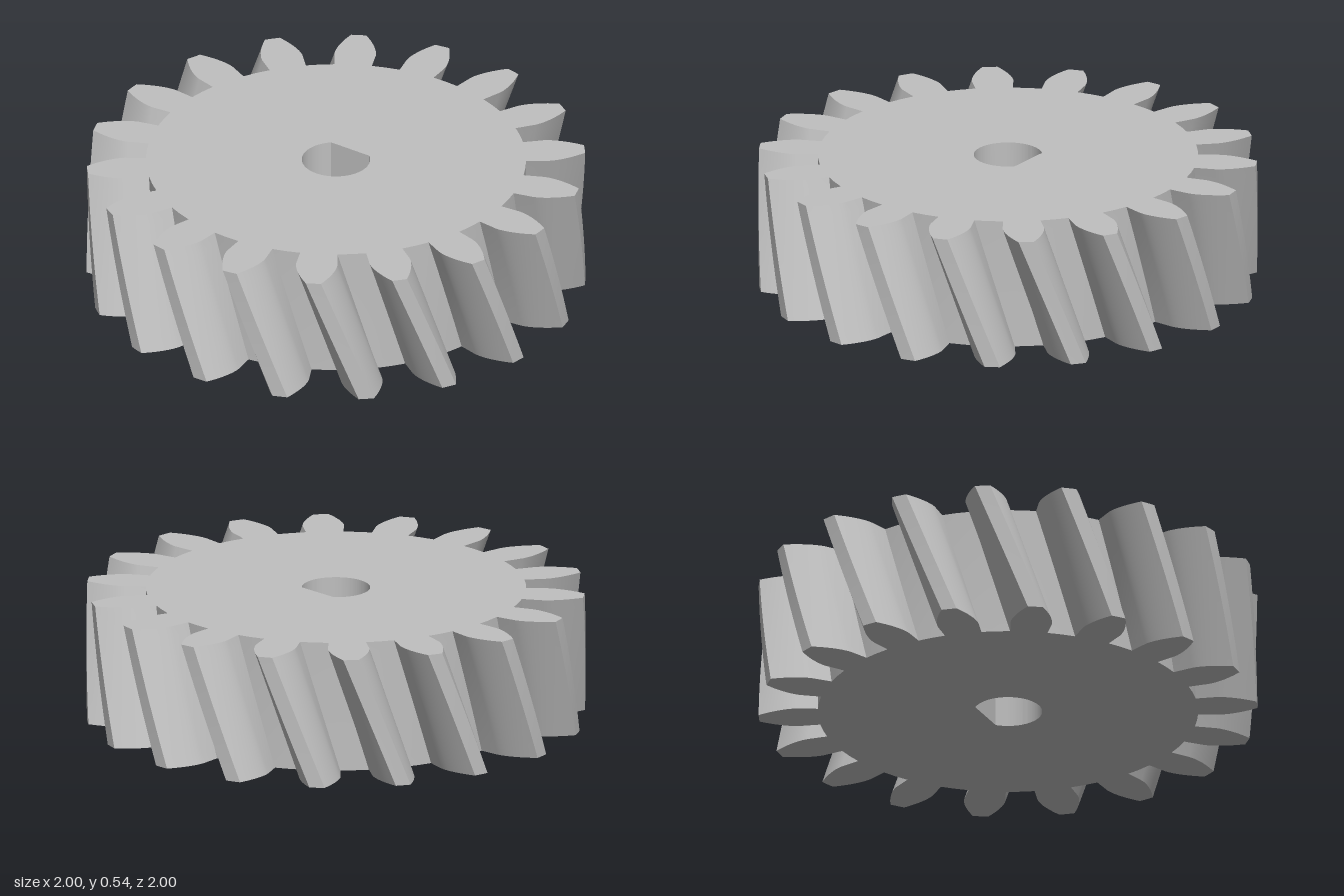
import * as THREE from 'three';
import { toCreasedNormals } from 'three/addons/utils/BufferGeometryUtils.js';

const RAD = Math.PI / 180;
const TEETH = 18, HEIGHT = 0.535, TWIST = 12.2 * RAD;
const ROOT = 0.762, BASE = 0.846, TIP = 1.0;
const BASE_HALF = 5.65 * RAD;   // half angle of a tooth at its base circle
const FIRST = -5.2 * RAD;       // direction of the first tooth on the top face
const HUB = 0.5;

// half angle of a tooth at radius r: radial below the base circle, involute above
function halfAngle(r) {
  if (r <= BASE) return BASE_HALF;
  const a = Math.acos(BASE / r);
  return BASE_HALF - (Math.tan(a) - a);
}

function polar(r, a) {
  return new THREE.Vector2(r * Math.cos(a), r * Math.sin(a));
}

// outline of all the teeth, counter-clockwise
function gearOutline() {
  const radii = [ROOT, BASE];
  for (let i = 1; i <= 8; i++) radii.push(BASE + (TIP - BASE) * (i / 8));
  const points = [];
  const pitch = 2 * Math.PI / TEETH;
  for (let t = 0; t < TEETH; t++) {
    const c = FIRST + t * pitch;
    radii.forEach(r => points.push(polar(r, c - halfAngle(r))));
    points.push(polar(TIP, c));
    [...radii].reverse().forEach(r => points.push(polar(r, c + halfAngle(r))));
    points.push(polar(ROOT, c + pitch / 2));
  }
  return points;
}

function extrude(shape, steps, curveSegments) {
  return new THREE.ExtrudeGeometry(shape, { depth: HEIGHT, steps, curveSegments, bevelEnabled: false });
}

function finish(geometry, material, name) {
  geometry.rotateX(-Math.PI / 2);
  const mesh = new THREE.Mesh(toCreasedNormals(geometry, 0.5), material);
  mesh.name = name;
  return mesh;
}

export function createModel() {
  const gear = new THREE.Group();
  gear.name = 'helicalGear';
  const steel = new THREE.MeshStandardMaterial({ color: 0xbfbfbf });
  steel.name = 'greySteel';

  // toothed rim, twisted along its height into a helix
  const rimShape = new THREE.Shape(gearOutline());
  rimShape.holes.push(new THREE.Path().absarc(0, 0, HUB, 0, 2 * Math.PI, true));
  const rim = extrude(rimShape, 14, 60);
  const pos = rim.attributes.position;
  for (let i = 0; i < pos.count; i++) {
    const x = pos.getX(i), y = pos.getY(i), z = pos.getZ(i);
    const a = TWIST * (1 - z / HEIGHT);
    pos.setXY(i, x * Math.cos(a) - y * Math.sin(a), x * Math.sin(a) + y * Math.cos(a));
  }
  gear.add(finish(rim, steel, 'toothedRim'));

  // straight hub with a D-shaped shaft hole, overlapping the rim a little
  const hubShape = new THREE.Shape().absarc(0, 0, HUB + 0.003, 0, 2 * Math.PI, false);
  const flat = Math.acos(0.1 / 0.137), turn = 4.9 * RAD;
  const bore = new THREE.Path().absarc(0, 0, 0.137, turn + flat, turn - flat + 2 * Math.PI, false);
  bore.closePath();
  hubShape.holes.push(bore);
  gear.add(finish(extrude(hubShape, 1, 60), steel, 'hub'));

  return gear;
}
